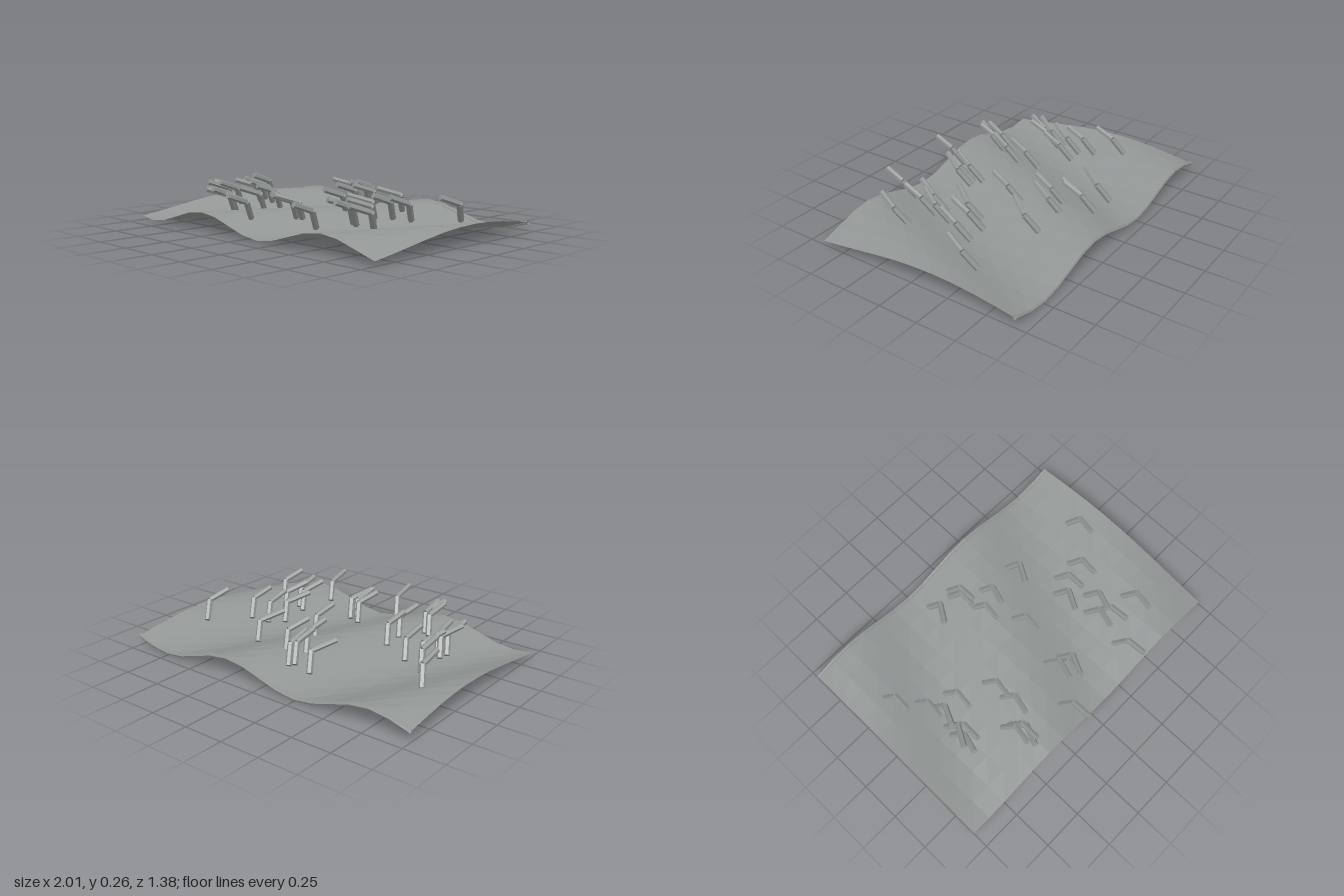
import * as THREE from 'three';

const grey = new THREE.MeshStandardMaterial({ color: 0x929796, flatShading: true, side: THREE.DoubleSide });
grey.name = 'stoneGrey';

const BACK = -0.68, FRONT = 0.65;

// Travelling wave that shapes the sheet and its rim
function waveHeight(x, z) {
  return 0.069 + 0.052 * Math.sin(2 * Math.PI * x + 2.96 * (z - BACK));
}

function part(name, geometry) {
  const mesh = new THREE.Mesh(geometry, grey);
  mesh.name = name;
  return mesh;
}

// Straight six-sided rod between two points
function rod(name, a, b, radius) {
  const dir = b.clone().sub(a);
  const mesh = part(name, new THREE.CylinderGeometry(radius, radius, dir.length(), 6));
  mesh.position.copy(a).addScaledVector(dir, 0.5);
  mesh.quaternion.setFromUnitVectors(new THREE.Vector3(0, 1, 0), dir.normalize());
  return mesh;
}

// Elbow x, elbow z and sideways lean of the tip for each bristle
const BRISTLES = [
  [-0.18, -0.45, -0.08], [-0.02, -0.44, -0.01], [-0.04, -0.41, -0.02], [0.01, -0.25, -0.03],
  [0.12, -0.30, -0.05], [0.35, -0.29, -0.08], [0.84, -0.23, -0.04], [-0.77, -0.22, -0.01],
  [-0.66, -0.06, -0.02], [-0.61, 0.03, -0.06], [-0.50, 0.02, -0.02], [0.13, -0.02, -0.03],
  [0.43, 0.05, -0.08], [0.51, -0.02, -0.02], [0.64, -0.03, -0.03], [-0.29, 0.14, -0.03],
  [-0.28, 0.28, -0.04], [0.55, 0.19, -0.06], [0.47, 0.27, -0.05], [0.53, 0.31, -0.01],
  [0.71, 0.36, -0.04], [0.44, 0.53, -0.01], [-0.07, 0.56, -0.01], [0.06, 0.32, -0.05],
  [0.14, 0.35, -0.07], [0.10, 0.36, -0.03], [-0.41, 0.41, -0.03], [-0.36, 0.45, -0.06],
  [-0.37, 0.43, -0.01], [-0.64, 0.17, -0.07], [-0.65, 0.23, -0.04], [-0.61, 0.19, -0.01],
];

export function createModel() {
  const model = new THREE.Group();
  model.name = 'wavySheetWithBristles';

  // Rippled sheet
  const sheet = new THREE.PlaneGeometry(2, FRONT - BACK, 16, 10);
  sheet.rotateX(-Math.PI / 2);
  sheet.translate(0, 0, (FRONT + BACK) / 2);
  const pos = sheet.attributes.position;
  for (let i = 0; i < pos.count; i++) pos.setY(i, waveHeight(pos.getX(i), pos.getZ(i)));
  sheet.computeVertexNormals();
  model.add(part('sheet', sheet));

  // Rolled rim along the back edge
  const path = [];
  for (let i = 0; i <= 16; i++) {
    const x = -1 + i / 8;
    path.push(new THREE.Vector3(x, waveHeight(x, BACK), BACK));
  }
  model.add(part('backRim', new THREE.TubeGeometry(new THREE.CatmullRomCurve3(path), 16, 0.013, 6)));

  // Bent bristles, each a leaning stem and a forward-reaching tip
  const bristles = new THREE.Group();
  bristles.name = 'bristles';
  for (const [x, z, lean] of BRISTLES) {
    const base = new THREE.Vector3(x - 0.042, 0.1, z - 0.07);
    const elbow = new THREE.Vector3(x, 0.205, z);
    const tip = new THREE.Vector3(x + lean, 0.25, z + 0.125);
    const bristle = new THREE.Group();
    bristle.name = 'bristle';
    bristle.add(rod('stem', base, elbow, 0.019), rod('tip', elbow, tip, 0.018));
    bristles.add(bristle);
  }
  model.add(bristles);
  return model;
}
